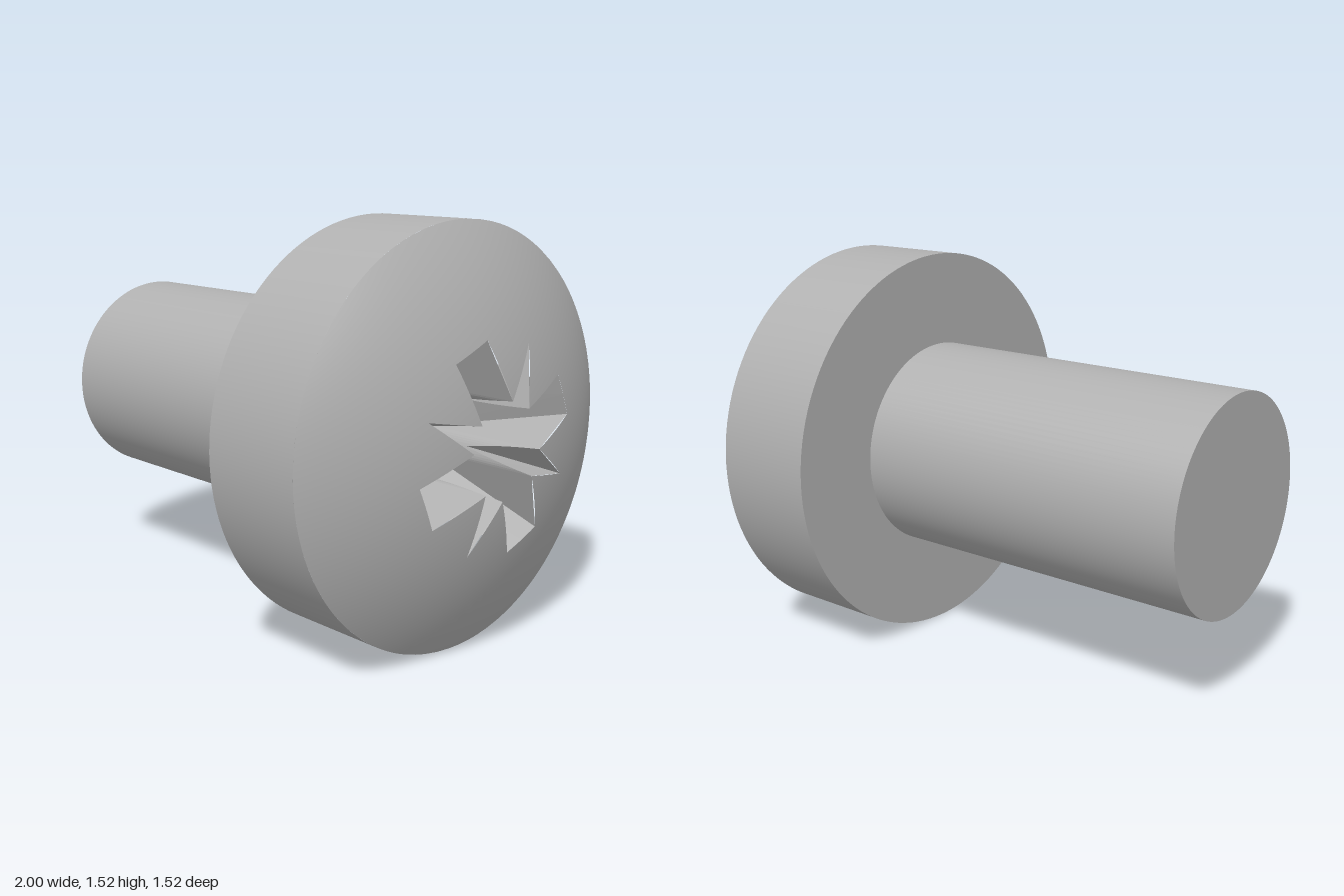
import * as THREE from 'three';

const HEAD_R = 0.762, SHANK_R = 0.405;
const BACK = -1, COLLAR = 0.36, RIM = 0.78, APEX = 1.0105;
const rise = APEX - RIM;
const SPHERE_R = (HEAD_R ** 2 + rise ** 2) / (2 * rise);
const FLOOR = 0.5, PIT = 0.4, GROOVE = 0.7; // heights along the screw axis
const TURN = Math.PI / 8;                   // rotation of the recess

const domeZ = (x, y) => APEX - SPHERE_R + Math.sqrt(SPHERE_R ** 2 - x * x - y * y);
const V = (x, y, z) => new THREE.Vector3(x, y, z);
const onDome = (x, y) => V(x, y, domeZ(x, y));

// Recess outline key points in one eighth of the cross (arm along +x)
const ARM = [0.376, 0.082], INNER = [0.15, 0.082];
const TIP = [0.376 * Math.SQRT1_2, 0.376 * Math.SQRT1_2];

// Spherical cap whose inner edge follows the recess outline
function domeGeometry() {
  const outline = [];
  for (let q = 0; q < 4; q++) {
    const c = Math.cos(q * Math.PI / 2 + TURN), s = Math.sin(q * Math.PI / 2 + TURN);
    const sector = [[ARM[0], -ARM[1]], ARM, INNER, TIP, [INNER[1], INNER[0]]];
    for (const [x, y] of sector) outline.push([x * c - y * s, x * s + y * c]);
  }
  const steps = 6, rings = 14, inner = [];
  outline.forEach(([x, y], i) => {
    const [x2, y2] = outline[(i + 1) % outline.length];
    for (let k = 0; k < steps; k++) {
      const t = k / steps;
      inner.push([x + (x2 - x) * t, y + (y2 - y) * t]);
    }
  });
  const n = inner.length, pos = [], nor = [], idx = [];
  for (let j = 0; j <= rings; j++) {
    for (const [x, y] of inner) {
      const r0 = Math.hypot(x, y), r = r0 + (HEAD_R - r0) * j / rings;
      const p = onDome(x / r0 * r, y / r0 * r);
      pos.push(p.x, p.y, p.z);
      nor.push(p.x / SPHERE_R, p.y / SPHERE_R, (p.z - APEX + SPHERE_R) / SPHERE_R);
    }
  }
  for (let j = 0; j < rings; j++) {
    for (let i = 0; i < n; i++) {
      const a = j * n + i, b = j * n + (i + 1) % n;
      idx.push(a, a + n, b + n, a, b + n, b);
    }
  }
  const g = new THREE.BufferGeometry();
  g.setAttribute('position', new THREE.Float32BufferAttribute(pos, 3));
  g.setAttribute('normal', new THREE.Float32BufferAttribute(nor, 3));
  g.setIndex(idx);
  return g;
}

// Cross recess: one eighth is built, then mirrored and turned four times
function recessGeometry() {
  const tris = [];
  const tri = (...p) => tris.push(p);
  const armMid = onDome(ARM[0], 0), armEnd = onDome(...ARM), innerTop = onDome(...INNER);
  const footMid = V(INNER[0], 0, FLOOR), foot = V(...INNER, FLOOR), tip = onDome(...TIP);
  const notch = V(0.034, 0, FLOOR), ray = V(0.088, 0.088, FLOOR), pit = V(0, 0, PIT);

  // sloping arm end and upright arm side
  tri(armMid, armEnd, foot);
  tri(armMid, foot, footMid);
  tri(armEnd, innerTop, foot);

  // rounded corner with a pointed groove above it
  const m = 0.1045;
  const arc = new THREE.QuadraticBezierCurve(
    new THREE.Vector2(...INNER), new THREE.Vector2(2 * m - INNER[1], INNER[1]), new THREE.Vector2(m, m)
  ).getPoints(6);
  const top = arc.map((p, i) => V(p.x, p.y, THREE.MathUtils.lerp(innerTop.z, GROOVE, i / 6)));
  const low = arc.map((p) => V(p.x, p.y, FLOOR));
  for (let i = 0; i < 6; i++) {
    tri(tip, top[i + 1], top[i]);
    tri(top[i], top[i + 1], low[i + 1]);
    tri(top[i], low[i + 1], low[i]);
    tri(ray, low[i], low[i + 1]);
  }

  // floor and the star-shaped pit in it
  tri(notch, footMid, foot);
  tri(notch, foot, ray);
  tri(pit, notch, ray);

  const pos = [], axis = V(0, 0, 1);
  for (let q = 0; q < 4; q++) {
    for (const side of [1, -1]) {
      for (const t of tris) {
        const corners = side > 0 ? t : [t[0], t[2], t[1]];
        for (const p of corners) {
          const w = V(p.x, p.y * side, p.z).applyAxisAngle(axis, q * Math.PI / 2 + TURN);
          pos.push(w.x, w.y, w.z);
        }
      }
    }
  }
  const g = new THREE.BufferGeometry();
  g.setAttribute('position', new THREE.Float32BufferAttribute(pos, 3));
  g.computeVertexNormals();
  return g;
}

// Cylinder lying along the screw axis
function rod(radius, from, to, open) {
  return new THREE.CylinderGeometry(radius, radius, to - from, 120, 1, open)
    .rotateX(Math.PI / 2).translate(0, 0, (from + to) / 2);
}

export function createModel() {
  const steel = new THREE.MeshStandardMaterial({ color: 0xb0b0b0 });
  steel.name = 'steel grey';

  const screw = new THREE.Group();
  screw.name = 'screw';
  const add = (name, geometry) => {
    const mesh = new THREE.Mesh(geometry, steel);
    mesh.name = name;
    screw.add(mesh);
  };

  add('shank', rod(SHANK_R, BACK, COLLAR, false));
  add('headSide', rod(HEAD_R, COLLAR, RIM, true));
  add('headUnderside', new THREE.RingGeometry(SHANK_R, HEAD_R, 120)
    .rotateY(Math.PI).translate(0, 0, COLLAR));
  add('headDome', domeGeometry());
  add('driveRecess', recessGeometry());

  // point the screw axis along +x and rest the head on the ground
  screw.rotation.y = Math.PI / 2;
  screw.position.y = HEAD_R;

  const model = new THREE.Group();
  model.name = 'panHeadScrew';
  model.add(screw);
  return model;
}
